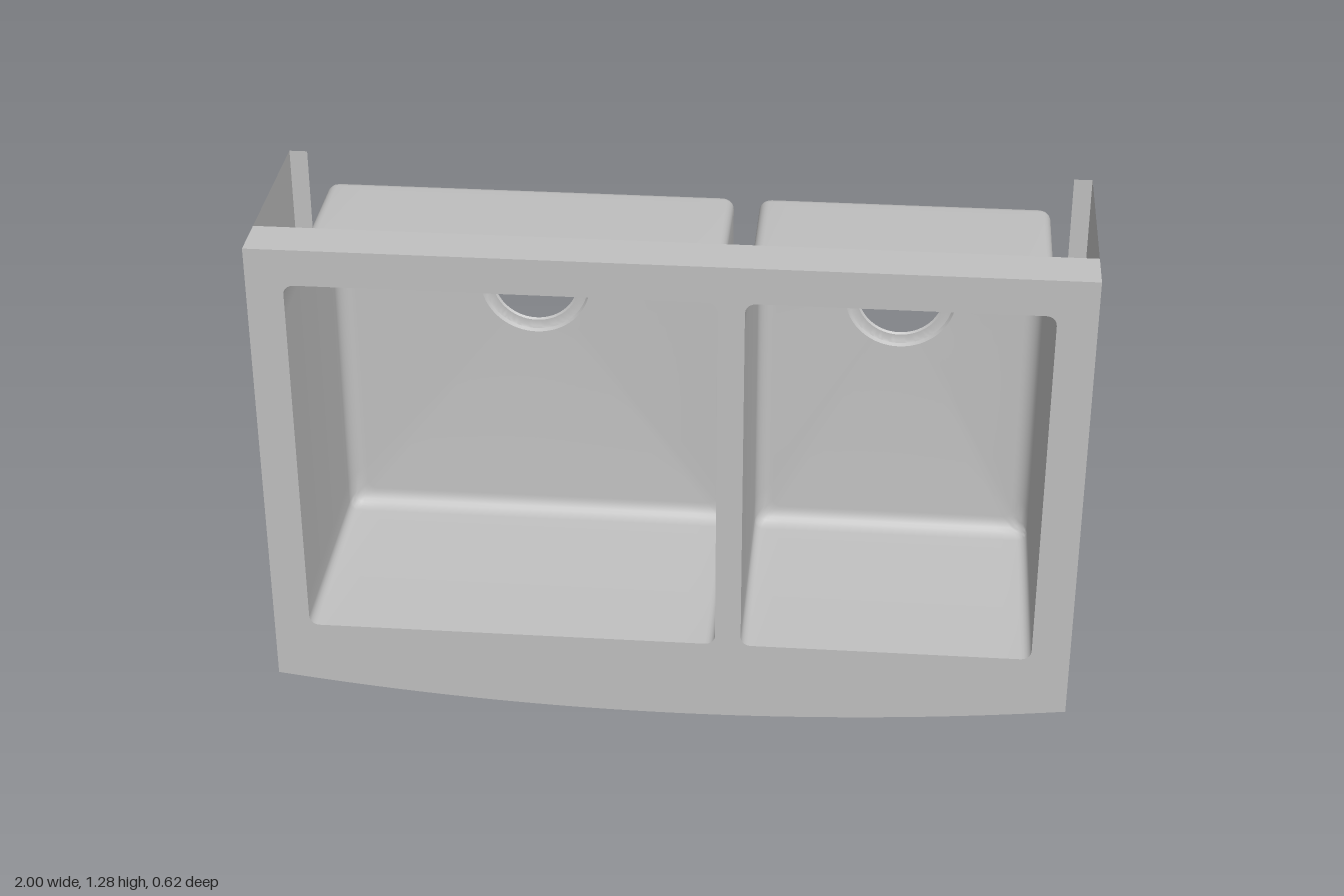
import * as THREE from 'three';
import { toCreasedNormals } from 'three/addons/utils/BufferGeometryUtils.js';

const FRONT = 0.31, BACK = -0.235, TOP = 1.277;
const steel = new THREE.MeshStandardMaterial({ color: 0xc0c0c0, side: THREE.DoubleSide });
steel.name = 'brushed steel';

// Bowed lower edge of the apron
const R = 7.72;
const bow = (x) => R - Math.sqrt(R * R - x * x);
const bowPoints = [];
for (let i = 0; i <= 40; i++) {
  const x = -1 + i / 20;
  bowPoints.push(new THREE.Vector2(x, bow(x)));
}

// Rounded rectangle as a counter-clockwise loop, with extra points along the edges
function roundedLoop(x0, x1, y0, y1, r, perEdge = 16) {
  const corners = [[x1 - r, y0 + r], [x1 - r, y1 - r], [x0 + r, y1 - r], [x0 + r, y0 + r]];
  const pts = [];
  corners.forEach(([cx, cy], k) => {
    for (let i = 0; i <= 5; i++) {
      const a = (k - 1 + i / 5) * Math.PI / 2;
      pts.push(new THREE.Vector2(cx + r * Math.cos(a), cy + r * Math.sin(a)));
    }
    const [nx, ny] = corners[(k + 1) % 4], a = k * Math.PI / 2;
    const from = pts[pts.length - 1];
    const to = new THREE.Vector2(nx + r * Math.cos(a), ny + r * Math.sin(a));
    for (let i = 1; i < perEdge; i++) pts.push(from.clone().lerp(to, i / perEdge));
  });
  return pts;
}

// Skin a surface through loops, each { pts, z }
function loft(loops, closed) {
  const n = loops[0].pts.length, pos = [], idx = [];
  for (const { pts, z } of loops) for (const p of pts) pos.push(p.x, p.y, z);
  for (let j = 0; j < loops.length - 1; j++) {
    for (let i = 0; i < (closed ? n : n - 1); i++) {
      const a = j * n + i, b = j * n + (i + 1) % n;
      idx.push(a, b, a + n, b, b + n, a + n);
    }
  }
  const g = new THREE.BufferGeometry();
  g.setAttribute('position', new THREE.Float32BufferAttribute(pos, 3));
  g.setIndex(idx);
  return toCreasedNormals(g, 0.5);
}

function part(name, geometry) {
  const m = new THREE.Mesh(geometry, steel);
  m.name = name;
  return m;
}

const bowls = [
  { name: 'largeBowl', x0: -0.91, x1: 0.118, drainX: -0.397 },
  { name: 'smallBowl', x0: 0.182, x1: 0.905, drainX: 0.544 },
];
const Y0 = 0.218, Y1 = 1.184, DRAIN_Y = 0.9, CORNER = 0.025;

// Bowl: straight walls, rounded bottom edge, floor sloping to a stepped drain
function makeBowl({ name, x0, x1, drainX }) {
  const group = new THREE.Group();
  group.name = name;
  const r = 0.045, loops = [];
  const rect = (inset) => roundedLoop(x0 + inset, x1 - inset, Y0 + inset, Y1 - inset, CORNER);
  loops.push({ pts: rect(0), z: FRONT });
  for (let i = 0; i <= 7; i++) {
    const a = i / 7 * Math.PI / 2;
    loops.push({ pts: rect(r * (1 - Math.cos(a))), z: -0.237 - r * Math.sin(a) });
  }
  const rim = loops[loops.length - 1].pts;
  const ring = (radius) => rim.map((p) => {
    const a = Math.atan2(p.y - DRAIN_Y, p.x - drainX);
    return new THREE.Vector2(drainX + radius * Math.cos(a), DRAIN_Y + radius * Math.sin(a));
  });
  loops.push({ pts: ring(0.142), z: -0.294 });
  group.add(part(name + 'Basin', loft(loops, true)));
  const drain = [[0.142, -0.294], [0.137, -0.303], [0.131, -0.306], [0.114, -0.306], [0.109, -0.31]];
  group.add(part(name + 'Drain', loft(drain.map(([q, z]) => ({ pts: ring(q), z })), true)));
  return group;
}

export function createModel() {
  const model = new THREE.Group();
  model.name = 'apronSink';
  const outline = [new THREE.Vector2(-1, TOP), ...bowPoints, new THREE.Vector2(1, TOP)];

  // Face sheet with the two bowl openings
  const face = new THREE.Shape(outline);
  for (const b of bowls) face.holes.push(new THREE.Path(roundedLoop(b.x0, b.x1, Y0, Y1, CORNER, 1).reverse()));
  const faceMesh = part('faceSheet', new THREE.ShapeGeometry(face));
  faceMesh.position.z = FRONT;
  model.add(faceMesh);

  // Side walls and bowed apron in one bent sheet
  model.add(part('sidesAndApron', loft([{ pts: outline, z: FRONT }, { pts: outline, z: BACK }], false)));

  // Narrow return along the top edge
  const lip = part('topReturn', new THREE.PlaneGeometry(2, 0.12).rotateX(-Math.PI / 2));
  lip.position.set(0, TOP, FRONT - 0.06);
  model.add(lip);

  // Inward flange around the open back
  const inner = [[0.955, TOP], [0.955, 0.17], [-0.955, 0.17], [-0.955, TOP]];
  const flange = new THREE.Shape([...outline, ...inner.map(([x, y]) => new THREE.Vector2(x, y))]);
  const flangeMesh = part('backFlange', new THREE.ShapeGeometry(flange).rotateY(Math.PI));
  flangeMesh.position.z = BACK;
  model.add(flangeMesh);

  for (const b of bowls) model.add(makeBowl(b));
  return model;
}
